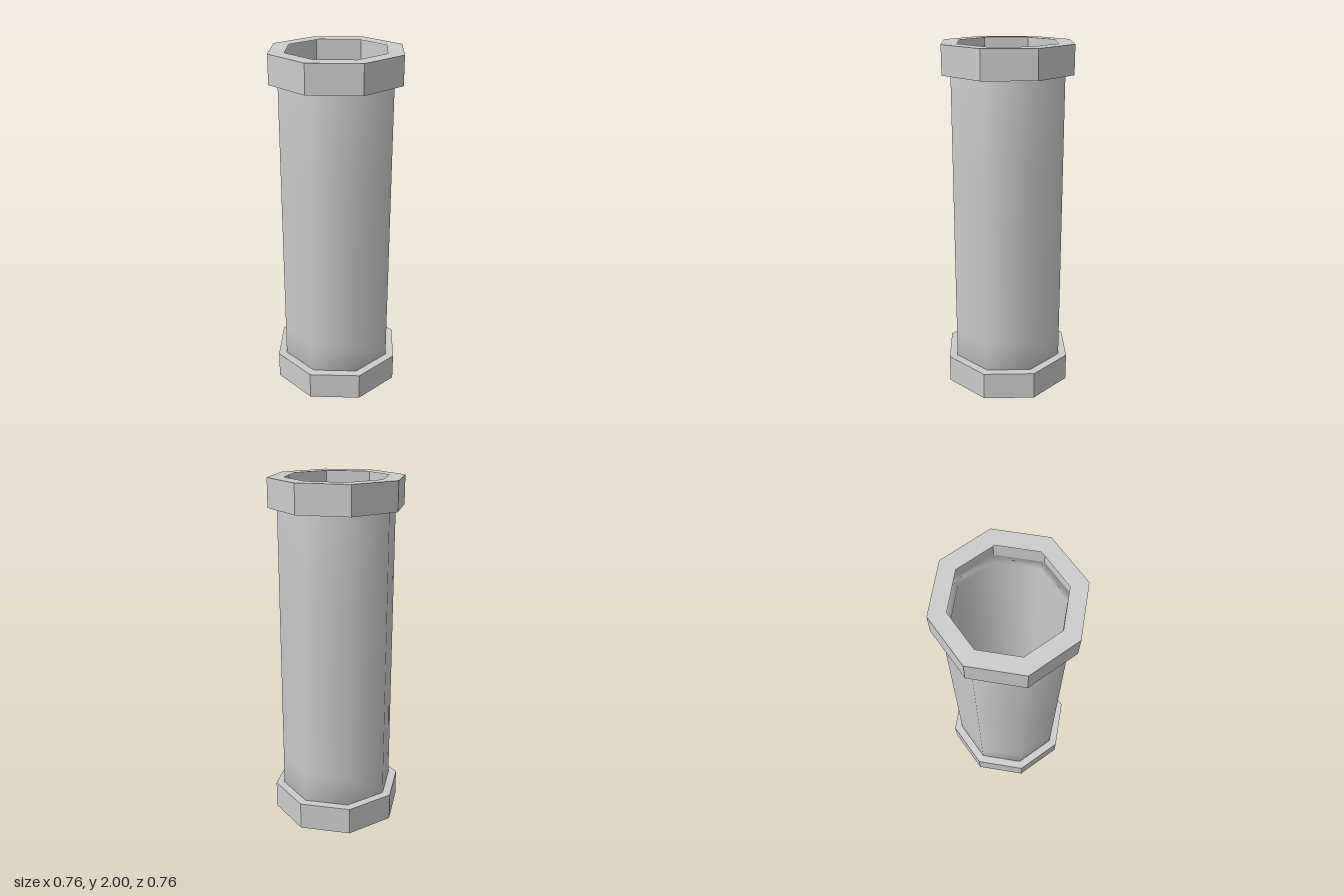
import * as THREE from 'three';

const SIDES = 8;
const HOLE = 0.288, WALL = 0.33, RIM = 0.38; // radii
const COLLAR = 0.16, HEIGHT = 2;

const lathe = (points, material, name) => {
  const profile = points.map(([r, y]) => new THREE.Vector2(r, y));
  const mesh = new THREE.Mesh(new THREE.LatheGeometry(profile, SIDES), material);
  mesh.name = name;
  return mesh;
};

export function createModel() {
  const group = new THREE.Group();
  group.name = 'pipe';
  const smooth = new THREE.MeshStandardMaterial({ color: 0xcccccc });
  const flat = new THREE.MeshStandardMaterial({
    color: 0xcccccc, flatShading: true, side: THREE.DoubleSide,
  });

  // Thick-walled octagonal tube, softly shaded around its end edges
  const low = COLLAR, high = HEIGHT - COLLAR;
  group.add(lathe([
    [HOLE, 1], [HOLE, low], [WALL, low], [WALL, 0.33],
    [WALL, 1.3], [WALL, high], [HOLE, high], [HOLE, 1],
  ], smooth, 'tube'));

  // Collars with an inward lip, leaving a ledge at each end of the tube
  const collar = [
    [WALL, 0], [RIM, 0], [RIM, COLLAR], [HOLE, COLLAR], [WALL, COLLAR], [WALL, 0],
  ];
  const top = lathe(collar, flat, 'topCollar');
  top.position.y = high;
  const bottom = lathe(collar, flat, 'bottomCollar');
  bottom.rotation.x = Math.PI;
  bottom.position.y = low;
  group.add(top, bottom);

  return group;
}
